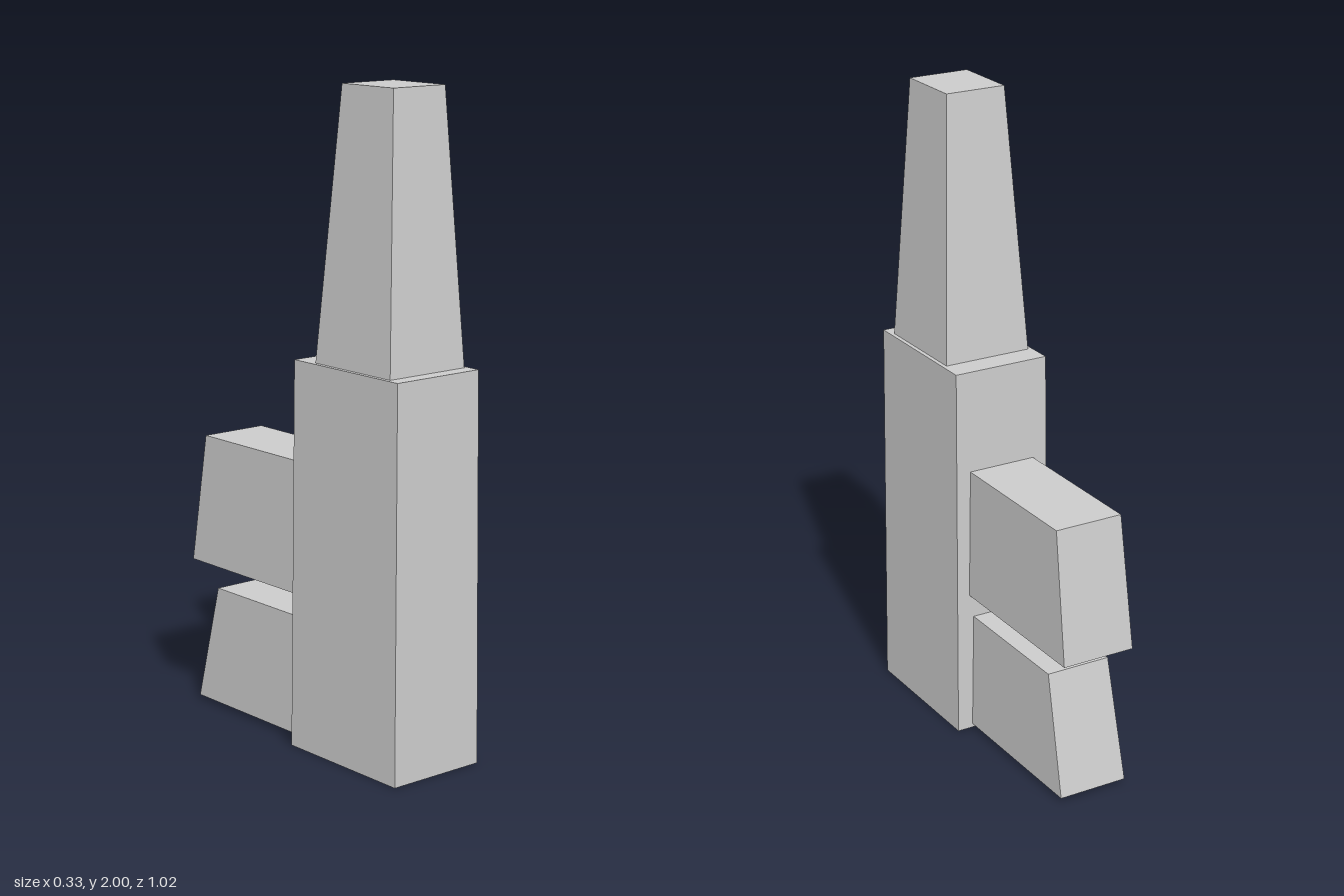
import * as THREE from 'three';

const material = new THREE.MeshStandardMaterial({ color: 0xcccccc, flatShading: true });

// Tapered block: each end is given as { y, x: half width, back, front }
function taperedBlock(name, bottom, top) {
  const geometry = new THREE.BoxGeometry(1, 1, 1);
  const p = geometry.attributes.position;
  for (let i = 0; i < p.count; i++) {
    const end = p.getY(i) > 0 ? top : bottom;
    p.setXYZ(i, Math.sign(p.getX(i)) * end.x, end.y, p.getZ(i) > 0 ? end.front : end.back);
  }
  geometry.computeVertexNormals();
  const mesh = new THREE.Mesh(geometry, material);
  mesh.name = name;
  return mesh;
}

export function createModel() {
  const model = new THREE.Group();
  model.name = 'tower';
  model.add(
    // Main shaft, barely tapered
    taperedBlock('shaft',
      { y: 0, x: 0.163, back: 0.036, front: 0.508 },
      { y: 1.19, x: 0.155, back: 0.045, front: 0.5 }),
    // Tapering upper stage
    taperedBlock('spire',
      { y: 1.19, x: 0.142, back: 0.126, front: 0.454 },
      { y: 2, x: 0.097, back: 0.19, front: 0.41 }),
    // Two blocks projecting from the back, set into the shaft
    taperedBlock('upperBackBlock',
      { y: 0.46, x: 0.118, back: -0.51, front: 0.05 },
      { y: 0.87, x: 0.11, back: -0.448, front: 0.05 }),
    taperedBlock('lowerBackBlock',
      { y: 0.012, x: 0.112, back: -0.49, front: 0.05 },
      { y: 0.385, x: 0.104, back: -0.4, front: 0.05 })
  );
  return model;
}
